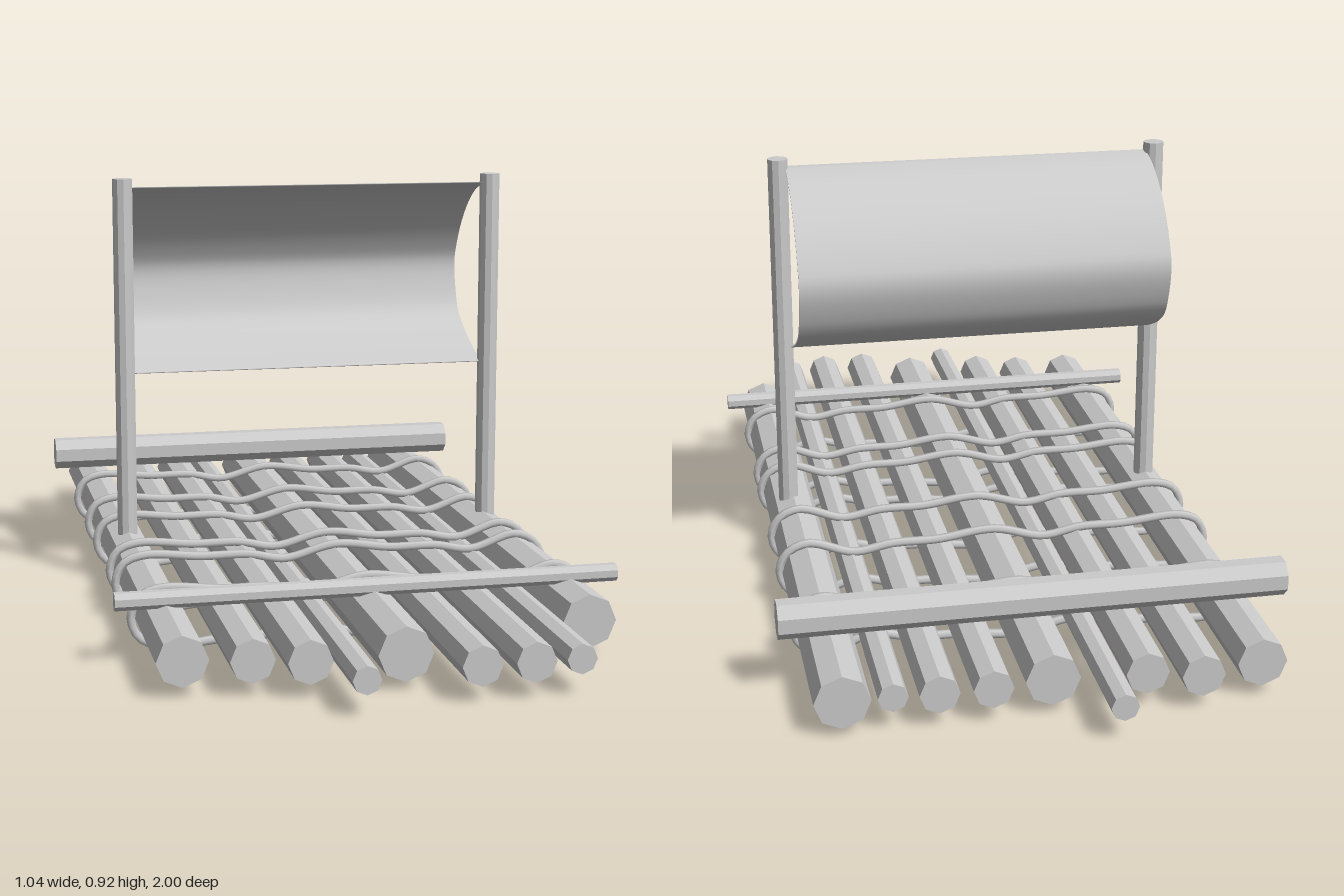
import * as THREE from 'three';

const flat = new THREE.MeshStandardMaterial({ color: 0xcccccc, flatShading: true });
const smooth = new THREE.MeshStandardMaterial({ color: 0xcccccc });
const cloth = new THREE.MeshStandardMaterial({ color: 0xcccccc, side: THREE.DoubleSide });

// Faceted pole centred at a point, lying along the given axis
function pole(name, axis, radius, length, x, y, z, sides = 8) {
  const geo = new THREE.CylinderGeometry(radius, radius, length, sides);
  if (axis === 'x') geo.rotateY(Math.PI / sides).rotateZ(Math.PI / 2);
  if (axis === 'z') geo.rotateX(Math.PI / 2);
  const mesh = new THREE.Mesh(geo, flat);
  mesh.name = name;
  mesh.position.set(x, y, z);
  return mesh;
}

// Closed rope loop following the bundle of logs
function ropeGeometry() {
  const outline = [
    [-0.48, 0.075], [-0.463, 0.033], [-0.41, 0.013], [-0.30, 0.02], [-0.19, 0.025],
    [-0.108, 0.038], [0, 0.015], [0.13, 0.025], [0.23, 0.028], [0.315, 0.043],
    [0.41, 0.011], [0.461, 0.03], [0.48, 0.075], [0.461, 0.118], [0.415, 0.137],
    [0.315, 0.108], [0.23, 0.121], [0.13, 0.122], [0.005, 0.136], [-0.108, 0.11],
    [-0.19, 0.124], [-0.29, 0.125], [-0.42, 0.134], [-0.463, 0.117],
  ];
  const path = new THREE.CatmullRomCurve3(
    outline.map(([x, y]) => new THREE.Vector3(x, y, 0)), true);
  return new THREE.TubeGeometry(path, 120, 0.0095, 6, true);
}

// Billowing sail: a thin curved strip extruded between the masts
function sailGeometry() {
  const profile = [
    [0.008, 0.902], [-0.055, 0.882], [-0.115, 0.845], [-0.17, 0.79], [-0.205, 0.735],
    [-0.219, 0.695], [-0.211, 0.645], [-0.187, 0.588], [-0.145, 0.554],
    [-0.10, 0.53], [-0.05, 0.508], [0.004, 0.488],
  ];
  const curve = new THREE.SplineCurve(profile.map(p => new THREE.Vector2(...p)));
  const steps = 32, thickness = 0.008;
  const inner = curve.getPoints(steps);
  const outer = inner.map((p, i) => {
    const t = curve.getTangent(i / steps);
    // offset shrinks to a thin hem at the two edges
    const w = thickness * (0.3 + 0.7 * Math.sin(Math.PI * i / steps));
    return new THREE.Vector2(p.x + t.y * w, p.y - t.x * w);
  });
  const width = 0.815;
  const pos = [], index = [];
  const ring = [...inner, ...outer.reverse()];
  const n = ring.length;
  for (const x of [-width / 2, width / 2])
    for (const p of ring) pos.push(x, p.y, p.x);
  for (let i = 0; i < n; i++) {
    const j = (i + 1) % n;
    index.push(i, j, n + i, j, n + j, n + i);
  }
  // side hems
  for (let i = 0; i < steps; i++) {
    const a = i, b = i + 1, c = n - 2 - i, d = n - 1 - i;
    index.push(a, c, b, a, d, c);
    index.push(n + a, n + b, n + c, n + a, n + c, n + d);
  }
  const geo = new THREE.BufferGeometry();
  geo.setAttribute('position', new THREE.Float32BufferAttribute(pos, 3));
  geo.setIndex(index);
  // per-face corners on the two skins are kept smooth, hems stay thin
  geo.computeVertexNormals();
  return geo;
}

export function createModel() {
  const raft = new THREE.Group();
  raft.name = 'raft';

  // Deck logs: x, radius, back end, front end
  const deck = new THREE.Group();
  deck.name = 'deckLogs';
  [
    [-0.42, 0.051, -0.88, 0.82], [-0.29, 0.044, -0.91, 0.845], [-0.185, 0.044, -0.88, 0.875],
    [-0.107, 0.028, -1, 1], [0.003, 0.055, -0.87, 0.865], [0.124, 0.04, -0.885, 0.965],
    [0.23, 0.04, -0.885, 0.965], [0.32, 0.03, -0.88, 0.965], [0.418, 0.056, -0.88, 0.738],
  ].forEach(([x, r, back, front], i) => {
    deck.add(pole('deckLog' + (i + 1), 'z', r, front - back, x, 0.074, (front + back) / 2));
  });
  raft.add(deck);

  // Rope lashings
  const ropes = new THREE.Group();
  ropes.name = 'ropes';
  const ropeGeo = ropeGeometry();
  [-0.553, -0.292, -0.108, 0.153, 0.26, 0.522].forEach((z, i) => {
    const rope = new THREE.Mesh(ropeGeo, smooth);
    rope.name = 'rope' + (i + 1);
    rope.position.z = z;
    ropes.add(rope);
  });
  raft.add(ropes);

  // Crossbars
  raft.add(pole('backCrossbar', 'x', 0.04, 1.045, 0, 0.165, -0.69));
  raft.add(pole('frontCrossbar', 'x', 0.019, 1.045, 0, 0.135, 0.603));

  // Masts
  raft.add(pole('rightMast', 'y', 0.0225, 0.82, -0.42, 0.513, 0, 10));
  raft.add(pole('leftMast', 'y', 0.0225, 0.82, 0.428, 0.513, 0, 10));

  // Sail
  const sail = new THREE.Mesh(sailGeometry(), cloth);
  sail.name = 'sail';
  sail.position.x = 0.004;
  raft.add(sail);

  return raft;
}
